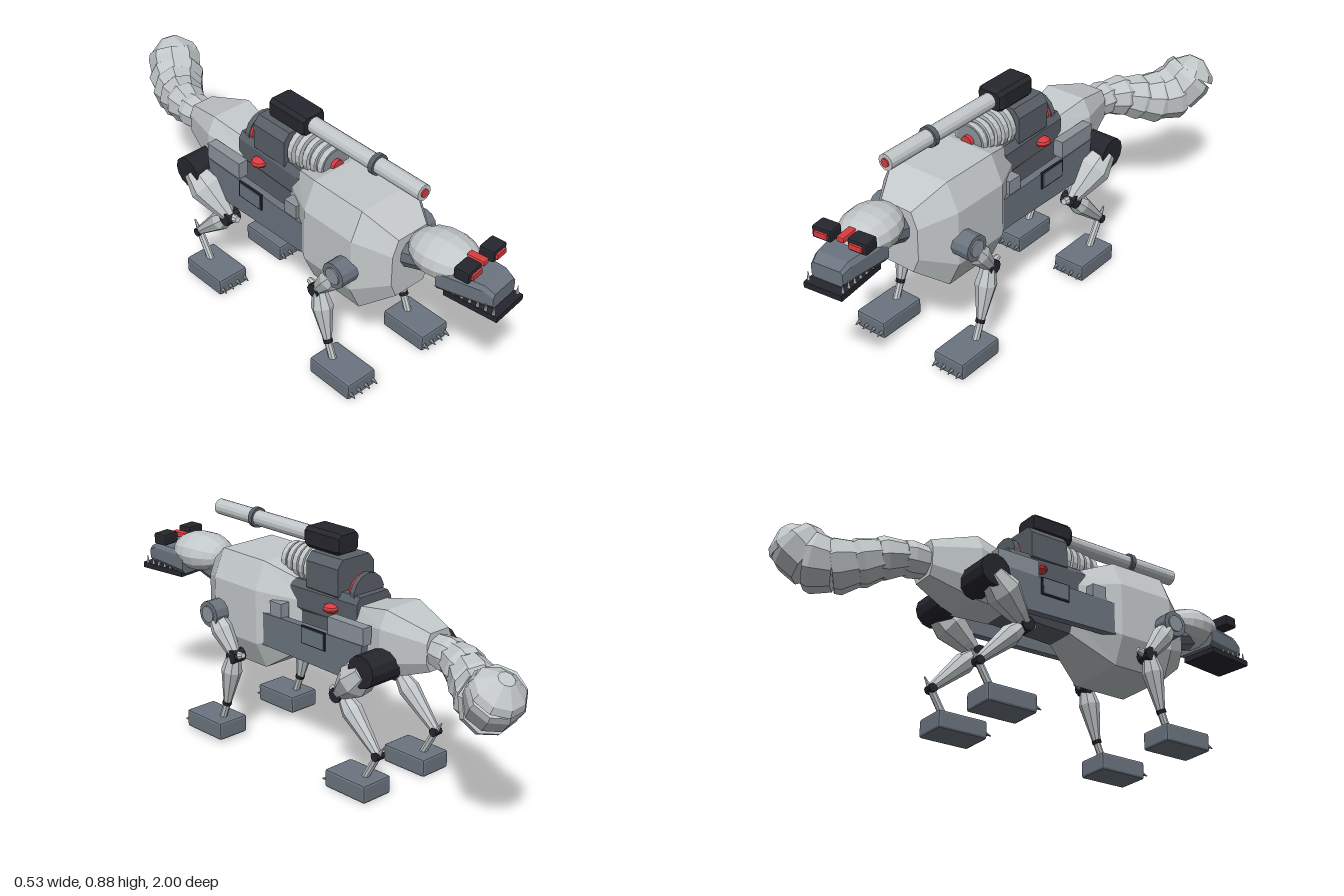
import * as THREE from 'three';
import { RoundedBoxGeometry } from 'three/addons/geometries/RoundedBoxGeometry.js';

const mat = (name, color) => Object.assign(new THREE.MeshStandardMaterial({ color }), { name });
const V = (x, y, z) => new THREE.Vector3(x, y, z);

export function createModel() {
  const light = mat('light grey armour', 0xc3c8ca);
  const steel = mat('blue steel', 0x6b747f);
  const gun = mat('gunmetal', 0x5a6068);
  const pale = mat('pale steel', 0x8c949b);
  const black = mat('black', 0x26272e);
  const red = mat('red glow', 0xd93b3f);

  const model = new THREE.Group();
  const body = new THREE.Group();
  body.name = 'body';
  body.position.x = -0.023;
  model.add(body);

  // Faceted mesh with one normal per face
  function add(parent, name, geo, material, x = 0, y = 0, z = 0) {
    const g = geo.index ? geo.toNonIndexed() : geo;
    g.computeVertexNormals();
    const m = new THREE.Mesh(g, material);
    m.name = name;
    m.position.set(x, y, z);
    parent.add(m);
    return m;
  }
  const box = (p, name, m, w, h, d, x, y, z) =>
    add(p, name, new THREE.BoxGeometry(w, h, d), m, x, y, z);

  // Chamfered cross-sections [z, halfWidth, yLow, yHigh], front to back
  function loft(sections, cx = 0.72, cy = 0.5) {
    const pos = [], idx = [];
    const ring = [[1, -cy], [1, cy], [cx, 1], [-cx, 1], [-1, cy], [-1, -cy], [-cx, -1], [cx, -1]];
    for (const [z, w, lo, hi] of sections)
      for (const [u, v] of ring) pos.push(u * w, (lo + hi) / 2 + v * (hi - lo) / 2, z);
    const last = (sections.length - 1) * 8;
    for (let s = 0; s < last; s += 8)
      for (let j = 0; j < 8; j++) {
        const a = s + j, b = s + (j + 1) % 8;
        idx.push(a, a + 8, b, b, a + 8, b + 8);
      }
    for (let j = 1; j < 7; j++) idx.push(0, j, j + 1, last, last + j + 1, last + j);
    const g = new THREE.BufferGeometry();
    g.setAttribute('position', new THREE.Float32BufferAttribute(pos, 3));
    g.setIndex(idx);
    return g;
  }

  // Turned piece from a to b; profile holds [fraction along, radius]
  function limb(parent, name, m, a, b, profile, sides = 8) {
    const dir = b.clone().sub(a), len = dir.length();
    const pts = profile.map(([t, r]) => new THREE.Vector2(r, t * len));
    pts.unshift(new THREE.Vector2(0, pts[0].y));
    pts.push(new THREE.Vector2(0, pts[pts.length - 1].y));
    const mesh = add(parent, name, new THREE.LatheGeometry(pts, sides), m, a.x, a.y, a.z);
    mesh.quaternion.setFromUnitVectors(V(0, 1, 0), dir.normalize());
    return mesh;
  }
  const rod = (p, name, m, a, b, r, sides = 12) => limb(p, name, m, a, b, [[0, r], [1, r]], sides);

  // Torso: chest, waist and hindquarters
  add(body, 'chest', loft([
    [0.60, 0.092, 0.41, 0.65], [0.48, 0.168, 0.315, 0.73],
    [0.25, 0.168, 0.315, 0.73], [0.09, 0.085, 0.42, 0.67]]), light);
  add(body, 'waist', loft([[0.10, 0.085, 0.42, 0.66], [-0.19, 0.08, 0.43, 0.65]]), gun);
  add(body, 'hindquarters', loft([
    [-0.17, 0.085, 0.43, 0.65], [-0.33, 0.115, 0.43, 0.68], [-0.50, 0.062, 0.49, 0.63]]), light);

  // Tail of overlapping flared segments
  const tail = [
    [0, 0.56, -0.47, 0.062], [0.005, 0.555, -0.57, 0.068], [0.03, 0.54, -0.65, 0.08],
    [0.065, 0.515, -0.72, 0.09], [0.105, 0.50, -0.79, 0.102], [0.148, 0.515, -0.855, 0.11],
    [0.178, 0.575, -0.905, 0.104]];
  for (let i = 0; i + 1 < tail.length; i++) {
    const [ax, ay, az, ar] = tail[i], [bx, by, bz, br] = tail[i + 1];
    limb(body, 'tailSegment', light, V(ax, ay, az), V(bx, by, bz),
      [[-0.1, ar * 0.88], [0.85, br], [1.15, br * 0.92]], 9);
  }
  limb(body, 'tailTip', light, V(0.178, 0.575, -0.905), V(0.185, 0.64, -0.945),
    [[0, 0.1], [0.35, 0.09], [0.95, 0.03]], 9);

  // Neck and head, turned slightly to its left
  limb(body, 'neck', steel, V(0, 0.56, 0.56), V(0.01, 0.60, 0.72), [[0, 0.06], [1, 0.05]], 10);
  const head = new THREE.Group();
  head.name = 'head';
  head.position.set(0.012, 0, 0.735);
  head.rotation.y = 0.13;
  body.add(head);
  const skull = new THREE.SphereGeometry(1, 14, 9);
  skull.rotateX(Math.PI / 2).scale(0.102, 0.077, 0.13);
  add(head, 'skull', skull, light, 0, 0.637, 0);
  add(head, 'muzzle', loft([
    [0.235, 0.062, 0.568, 0.625], [0.20, 0.07, 0.566, 0.645], [0.03, 0.092, 0.555, 0.645]], 0.85, 0.6), steel);
  box(head, 'lowerJaw', black, 0.15, 0.022, 0.21, 0, 0.547, 0.158);
  const tooth = new THREE.ConeGeometry(0.007, 0.04, 5);
  for (const s of [-1, 1]) {
    for (let i = 0; i < 6; i++) add(head, 'tooth', tooth, light, s * 0.068, 0.573, 0.09 + i * 0.031);
    add(head, 'eyeHousing', new RoundedBoxGeometry(0.075, 0.045, 0.06, 1, 0.007), black, s * 0.07, 0.683, 0.135);
    box(head, 'eye', red, 0.05, 0.02, 0.012, s * 0.068, 0.683, 0.167);
  }
  add(head, 'centreEye', new RoundedBoxGeometry(0.03, 0.022, 0.07, 1, 0.006), red, 0, 0.683, 0.125);

  // Back-mounted cannon
  rod(body, 'barrel', light, V(0, 0.835, 0.05), V(0, 0.835, 0.638), 0.03, 14);
  rod(body, 'barrelCollar', gun, V(0, 0.835, 0.415), V(0, 0.835, 0.435), 0.039, 14);
  rod(body, 'muzzleGlow', red, V(0, 0.835, 0.63), V(0, 0.835, 0.643), 0.016);
  add(body, 'breech', loft([
    [0.115, 0.046, 0.806, 0.872], [0.10, 0.054, 0.80, 0.88],
    [-0.05, 0.054, 0.80, 0.88], [-0.062, 0.048, 0.806, 0.874]], 0.75, 0.65), black);

  // Turret, ribbed drum and power disc
  add(body, 'turret', loft([[0.06, 0.09, 0.64, 0.80], [-0.10, 0.09, 0.64, 0.80]], 0.72, 0.62), gun);
  add(body, 'turretBase', loft([[0.14, 0.095, 0.56, 0.685], [-0.19, 0.085, 0.56, 0.685]], 0.8, 0.6), gun);
  rod(body, 'drumCore', pale, V(0, 0.725, 0.05), V(0, 0.725, 0.225), 0.058, 18);
  for (let i = 0; i < 5; i++) {
    const z = 0.065 + i * 0.034;
    rod(body, 'drumRib', light, V(0, 0.725, z), V(0, 0.725, z + 0.022), 0.08 - i * 0.004, 18);
  }
  rod(body, 'drumGlow', red, V(0, 0.725, 0.20), V(0, 0.725, 0.24), 0.024);
  rod(body, 'powerDisc', gun, V(0, 0.68, -0.165), V(0, 0.68, -0.145), 0.076, 14);
  rod(body, 'powerDiscGlow', red, V(0, 0.68, -0.145), V(0, 0.68, -0.135), 0.072, 14);

  for (const s of [-1, 1]) {
    const P = (x, y, z) => V(s * x, y, z);

    // Saddle plates
    const plate = new THREE.Shape([[-0.235, 0.545], [-0.235, 0.42], [0.265, 0.41], [0.285, 0.555]]
      .map(p => new THREE.Vector2(...p)));
    const plateGeo = new THREE.ExtrudeGeometry(plate, { depth: 0.03, bevelEnabled: false });
    plateGeo.rotateY(Math.PI / 2).translate(s * 0.14 - 0.015, 0, 0);
    add(body, 'sidePlate', plateGeo, steel);
    box(body, 'sideHatchFrame', black, 0.008, 0.068, 0.122, s * 0.156, 0.52, -0.045);
    box(body, 'sideHatch', steel, 0.008, 0.058, 0.11, s * 0.159, 0.52, -0.045);
    box(body, 'rearBracket', pale, 0.04, 0.065, 0.175, s * 0.132, 0.585, -0.2);
    box(body, 'frontBracket', pale, 0.04, 0.06, 0.06, s * 0.132, 0.57, 0.16);
    const lamp = new THREE.SphereGeometry(0.032, 10, 6);
    lamp.scale(1, 0.55, 1);
    add(body, 'sideLamp', lamp, red, s * 0.092, 0.622, -0.07);

    // Front leg
    rod(body, 'shoulder', steel, P(0.13, 0.497, 0.455), P(0.225, 0.497, 0.455), 0.05, 12);
    rod(body, 'shoulderCap', pale, P(0.22, 0.497, 0.455), P(0.23, 0.497, 0.455), 0.032, 12);
    limb(body, 'frontUpperLeg', light, P(0.195, 0.49, 0.45), P(0.19, 0.35, 0.345),
      [[0, 0.03], [0.35, 0.043], [1, 0.022]]);
    rod(body, 'elbow', black, P(0.16, 0.352, 0.345), P(0.215, 0.352, 0.345), 0.027, 10);
    limb(body, 'elbowSpur', light, P(0.19, 0.352, 0.345), P(0.19, 0.365, 0.30), [[0, 0.022], [1, 0.01]]);
    limb(body, 'frontLowerLeg', light, P(0.19, 0.35, 0.355), P(0.19, 0.145, 0.40),
      [[0, 0.026], [0.3, 0.04], [1, 0.015]]);
    rod(body, 'frontAnkleRing', black, P(0.19, 0.153, 0.398), P(0.19, 0.139, 0.404), 0.018, 10);
    rod(body, 'frontAnkle', light, P(0.19, 0.145, 0.40), P(0.19, 0.07, 0.43), 0.014, 8);

    // Rear leg
    rod(body, 'hip', black, P(0.07, 0.49, -0.338), P(0.215, 0.49, -0.338), 0.06, 12);
    limb(body, 'thigh', light, P(0.178, 0.475, -0.32), P(0.155, 0.35, -0.175),
      [[-0.1, 0.045], [0.3, 0.068], [0.75, 0.042], [1, 0.025]]);
    rod(body, 'knee', black, P(0.12, 0.345, -0.175), P(0.18, 0.345, -0.175), 0.028, 10);
    limb(body, 'kneeSpur', light, P(0.15, 0.345, -0.17), P(0.15, 0.355, -0.13), [[0, 0.02], [1, 0.012]]);
    limb(body, 'shin', light, P(0.145, 0.345, -0.18), P(0.15, 0.165, -0.365),
      [[0, 0.022], [0.28, 0.04], [1, 0.016]]);
    rod(body, 'hock', black, P(0.132, 0.165, -0.362), P(0.168, 0.165, -0.362), 0.017, 10);
    limb(body, 'hockSpur', light, P(0.15, 0.165, -0.365), P(0.15, 0.205, -0.39), [[0, 0.01], [1, 0.003]], 6);
    rod(body, 'rearAnkle', light, P(0.15, 0.165, -0.362), P(0.15, 0.06, -0.30), 0.014, 8);

    // Block feet with claws
    for (const [name, x, y, z] of [['frontFoot', 0.185, 0.046, 0.472], ['rearFoot', 0.152, 0.035, -0.265]]) {
      add(body, name, new RoundedBoxGeometry(0.133, 0.07, 0.2, 1, 0.009), steel, s * x, y, z);
      for (let i = -1.5; i < 2; i++)
        limb(body, 'claw', pale, V(s * x + i * 0.036, y - 0.008, z + 0.095),
          V(s * x + i * 0.036, y - 0.014, z + 0.122), [[0, 0.009], [1, 0.002]], 6);
    }
  }
  return model;
}
